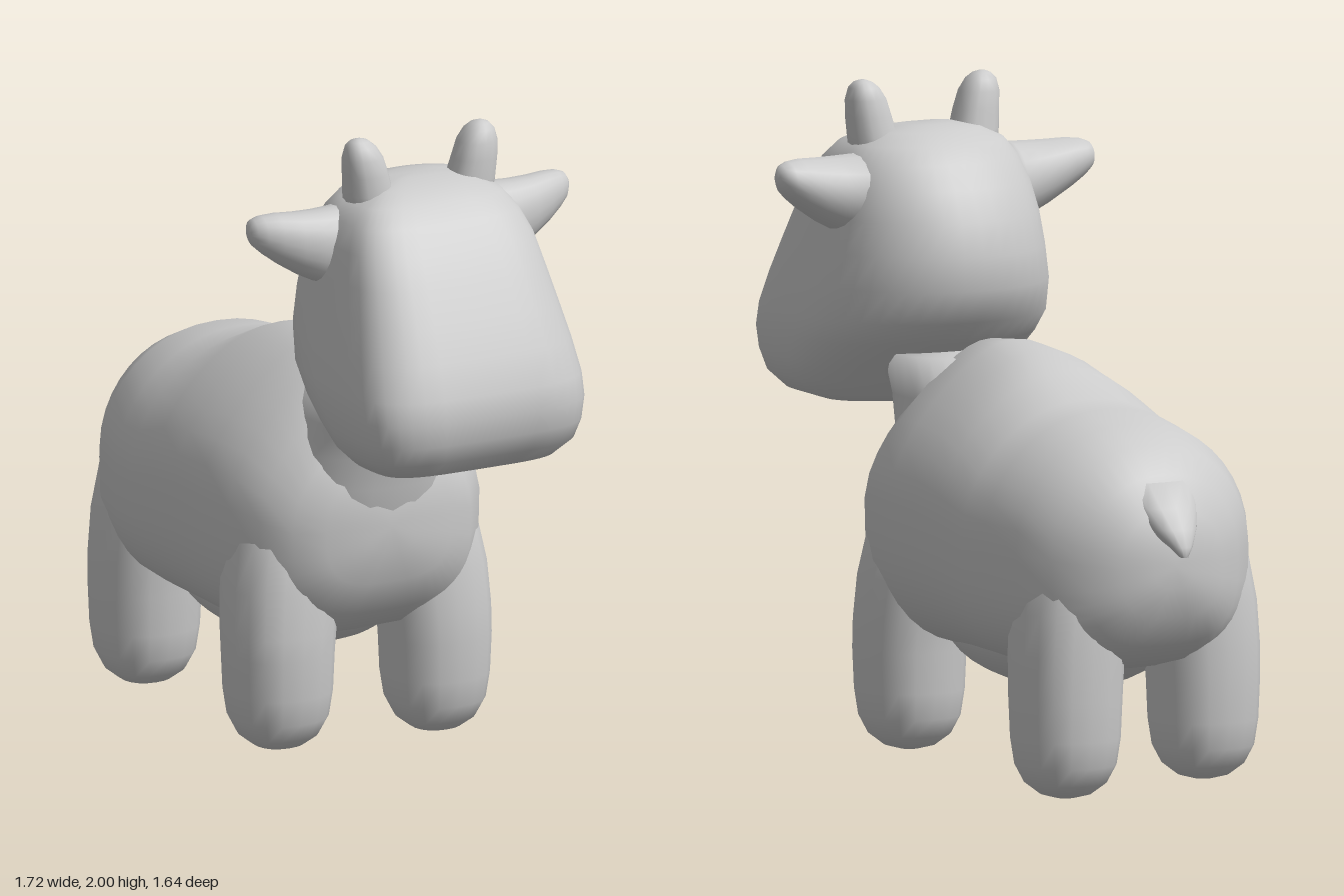
import * as THREE from 'three';

const material = new THREE.MeshStandardMaterial({ color: 0xcccccc });

// Signed power, used for rounded-square (superellipse) sections
const spow = (v, e) => Math.sign(v) * Math.pow(Math.abs(v), 2 / e);

// Skin a list of rows: ringPoint(row, cos, sin) gives [x, y, z]; both ends are closed
function loft(name, rows, ringPoint, sides = 28) {
  const pos = [], index = [];
  for (const row of rows) {
    for (let i = 0; i < sides; i++) {
      const a = (i / sides) * Math.PI * 2;
      pos.push(...ringPoint(row, Math.cos(a), Math.sin(a)));
    }
  }
  for (let r = 0; r < rows.length - 1; r++) {
    for (let i = 0; i < sides; i++) {
      const a = r * sides + i, b = r * sides + ((i + 1) % sides);
      index.push(a, b, b + sides, a, b + sides, a + sides);
    }
  }
  const cap = (r, last) => {
    const c = [0, 0, 0];
    for (let i = 0; i < sides; i++) for (let k = 0; k < 3; k++) c[k] += pos[(r * sides + i) * 3 + k] / sides;
    const centre = pos.length / 3;
    pos.push(...c);
    for (let i = 0; i < sides; i++) {
      const a = r * sides + i, b = r * sides + ((i + 1) % sides);
      index.push(centre, last ? a : b, last ? b : a);
    }
  };
  cap(0, false);
  cap(rows.length - 1, true);
  const geo = new THREE.BufferGeometry();
  geo.setAttribute('position', new THREE.Float32BufferAttribute(pos, 3));
  geo.setIndex(index);
  geo.computeVertexNormals();
  const mesh = new THREE.Mesh(geo, material);
  mesh.name = name;
  return mesh;
}

// Upright limb rows: [y, x, z, radius]
const limbPoint = ([y, x, z, r], c, s) => [x + r * spow(s, 2.3), y, z + r * spow(c, 2.3)];

// Body with a raised shoulder and full flanks; rows: [z, bottom, top, half width, taper above]
function makeBody() {
  const rows = [
    [-0.985, 0.64, 0.78, 0.07, 0], [-0.965, 0.55, 0.87, 0.17, 0], [-0.91, 0.46, 0.97, 0.255, 0.04],
    [-0.83, 0.4, 1.05, 0.335, 0.08], [-0.72, 0.37, 1.1, 0.395, 0.1], [-0.57, 0.36, 1.125, 0.425, 0.15],
    [-0.46, 0.36, 1.14, 0.435, 0.18], [-0.32, 0.36, 1.205, 0.44, 0.28], [-0.18, 0.36, 1.25, 0.44, 0.38],
    [-0.02, 0.36, 1.265, 0.435, 0.46], [0.12, 0.37, 1.25, 0.415, 0.48], [0.23, 0.41, 1.16, 0.37, 0.36],
    [0.31, 0.48, 1.03, 0.3, 0.15], [0.355, 0.58, 0.94, 0.21, 0], [0.375, 0.68, 0.84, 0.08, 0],
  ];
  return loft('body', rows, ([z, lo, hi, w, t], c, s) => {
    const e = s < 0 ? 3.1 : 2.25;
    return [w * spow(c, e) * (1 - t * Math.max(0, s) ** 1.3), 0.5 * (lo + hi) + 0.5 * (hi - lo) * spow(s, e), z];
  }, 40);
}

// Head with round back and broad square muzzle; rows: [y, back, front, half width]
function makeHead() {
  const rows = [
    [1.018, 0.52, 0.68, 0.12], [1.027, 0.47, 0.76, 0.23], [1.05, 0.43, 0.83, 0.3], [1.1, 0.37, 0.88, 0.35],
    [1.16, 0.29, 0.905, 0.372], [1.23, 0.19, 0.915, 0.385], [1.3, 0.11, 0.905, 0.385], [1.4, 0.07, 0.865, 0.37],
    [1.5, 0.075, 0.815, 0.35], [1.6, 0.1, 0.76, 0.33], [1.69, 0.15, 0.705, 0.31], [1.76, 0.2, 0.65, 0.28],
    [1.81, 0.25, 0.6, 0.24], [1.845, 0.31, 0.54, 0.17], [1.86, 0.37, 0.47, 0.08],
  ];
  return loft('head', rows, ([y, back, front, w], c, s) => {
    const e = 2.15 + 2 * THREE.MathUtils.smoothstep(c, -0.2, 0.6);
    return [w * spow(s, e), y, (back + front) / 2 + ((front - back) / 2) * spow(c, e)];
  }, 40);
}

// Plump leaf-shaped ear, flatter in front; rows: [x, y, z, half height, half depth]
function makeEar() {
  const rows = [
    [0.2, 1.66, 0.4, 0.13, 0.14], [0.27, 1.665, 0.41, 0.122, 0.125], [0.33, 1.675, 0.41, 0.11, 0.11],
    [0.39, 1.69, 0.405, 0.095, 0.098], [0.45, 1.71, 0.395, 0.077, 0.083], [0.495, 1.725, 0.385, 0.058, 0.067],
    [0.52, 1.732, 0.38, 0.042, 0.048], [0.533, 1.735, 0.378, 0.02, 0.022],
  ];
  return loft('ear', rows, ([x, y, z, h, d], c, s) => [x, y + h * c, z + d * (s > 0 ? 0.7 * s : s)], 20);
}

// Blunt horn leaning outwards
function makeHorn() {
  const rows = [
    [1.74, 0.155, 0.44, 0.08], [1.83, 0.172, 0.445, 0.073], [1.89, 0.183, 0.45, 0.067], [1.94, 0.192, 0.45, 0.06],
    [1.975, 0.199, 0.45, 0.045], [1.992, 0.202, 0.45, 0.027], [1.998, 0.203, 0.45, 0.01],
  ];
  return loft('horn', rows, limbPoint, 16);
}

// Stubby leg running up into the flank
function makeLeg(name, x, z, foot, leanZ) {
  const profile = [
    [0, 0.03], [0.012, 0.075], [0.045, 0.118], [0.1, 0.146], [0.18, 0.158], [0.3, 0.163],
  ].map(([y, r]) => [foot + y, x, z, r]);
  const inward = -Math.sign(x);
  return loft(name, [
    ...profile,
    [0.43, x + inward * 0.004, z + leanZ * 0.15, 0.167],
    [0.56, x + inward * 0.015, z + leanZ * 0.5, 0.17],
    [0.7, x + inward * 0.035, z + leanZ, 0.165],
    [0.84, x + inward * 0.07, z + leanZ * 1.5, 0.14],
  ], limbPoint, 18);
}

export function createModel() {
  const model = new THREE.Group();
  model.name = 'calf';

  // The animal stands turned half way towards its left
  const animal = new THREE.Group();
  animal.name = 'animal';
  animal.rotation.y = Math.PI / 4;
  model.add(animal);

  // Body, neck and legs
  const trunk = new THREE.Group();
  trunk.name = 'trunk';
  trunk.position.x = -0.02;
  trunk.add(makeBody());
  trunk.add(loft('neck', [
    [0.66, 0, 0.06, 0.27], [0.78, 0, 0.085, 0.285], [0.88, 0.005, 0.115, 0.275],
    [0.98, 0.01, 0.16, 0.248], [1.08, 0.02, 0.21, 0.225], [1.2, 0.03, 0.28, 0.21],
  ], limbPoint, 28));
  trunk.add(
    makeLeg('frontRightLeg', -0.27, 0.16, 0.06, -0.035),
    makeLeg('frontLeftLeg', 0.26, 0.155, 0.04, -0.035),
    makeLeg('backRightLeg', -0.245, -0.715, 0.025, 0.015),
    makeLeg('backLeftLeg', 0.225, -0.72, 0.0, 0.015),
  );

  // Rounded belly hanging between the legs
  const belly = new THREE.Mesh(new THREE.SphereGeometry(1, 28, 18), material);
  belly.name = 'belly';
  belly.scale.set(0.3, 0.19, 0.46);
  belly.position.set(0, 0.455, -0.28);
  trunk.add(belly);

  // Small pointed tail drooping from the rump
  trunk.add(loft('tail', [
    [0.74, 0, -1.035, 0.012], [0.77, 0, -1.015, 0.035], [0.82, 0, -0.955, 0.075],
    [0.88, 0, -0.88, 0.11], [0.95, 0, -0.8, 0.13],
  ], limbPoint, 16));
  animal.add(trunk);

  // Head with mirrored ears and horns
  const headGroup = new THREE.Group();
  headGroup.name = 'headGroup';
  headGroup.position.x = 0.03;
  headGroup.add(makeHead());
  for (const side of [-1, 1]) {
    const pair = new THREE.Group();
    pair.name = side > 0 ? 'leftEarAndHorn' : 'rightEarAndHorn';
    pair.scale.x = side;
    pair.add(makeEar(), makeHorn());
    headGroup.add(pair);
  }
  animal.add(headGroup);

  return model;
}
